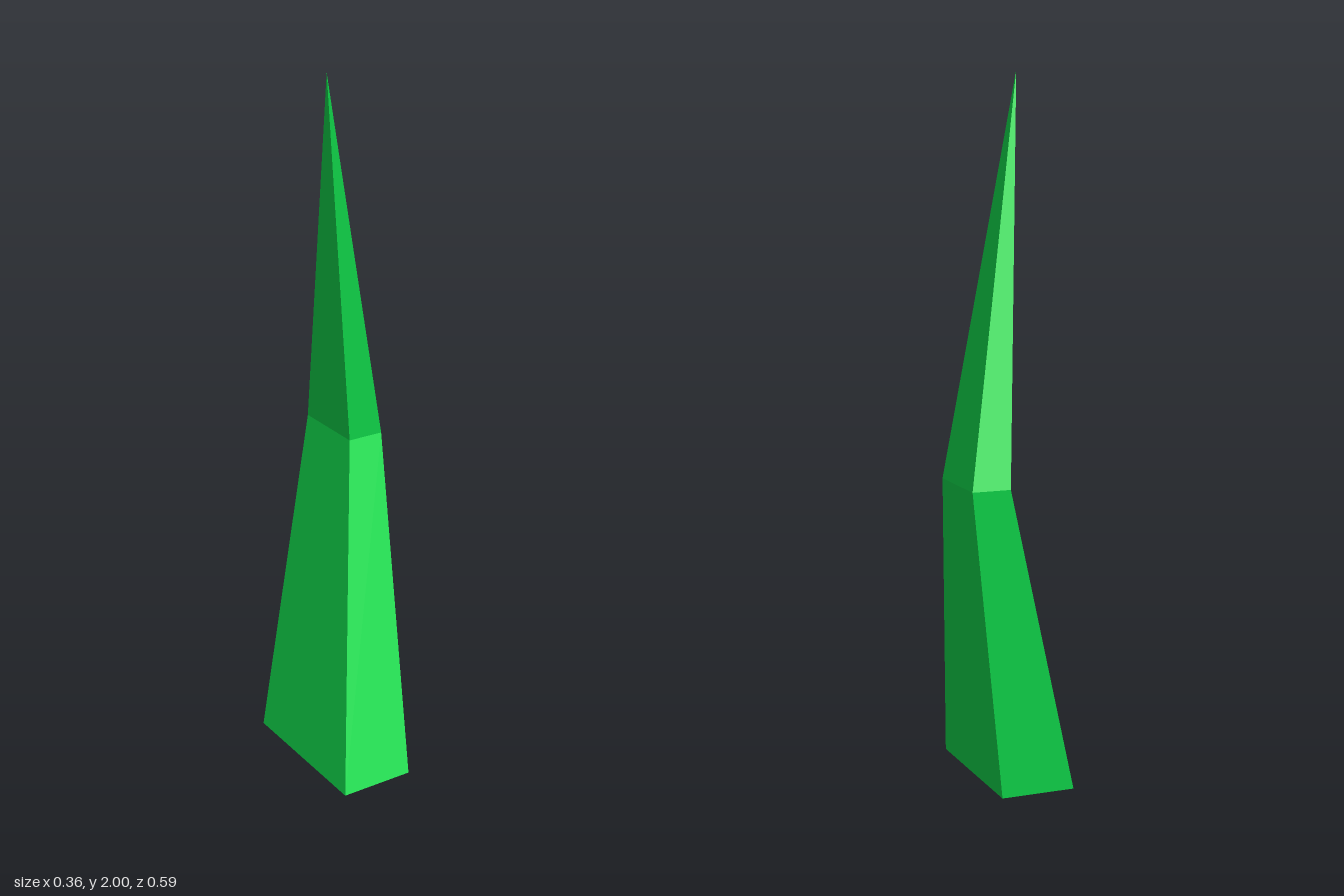
import * as THREE from 'three';

// Rectangular cross-sections of the bent blade: height, centre x/z, width and depth
const sections = [
  { y: 0, x: -0.07, z: 0.068, w: 0.216, d: 0.455 },
  { y: 0.9, x: 0.124, z: -0.182, w: 0.108, d: 0.227 },
];
const tip = new THREE.Vector3(-0.1, 2, 0.085);

// Corners run counter-clockwise seen from above, starting front right
function ring({ y, x, z, w, d }) {
  return [[-1, 1], [1, 1], [1, -1], [-1, -1]].map(
    ([sx, sz]) => new THREE.Vector3(x + (sx * w) / 2, y, z + (sz * d) / 2)
  );
}

function bladeGeometry() {
  const [base, bend] = sections.map(ring);
  const points = [];
  for (let i = 0; i < 4; i++) {
    const j = (i + 1) % 4;
    points.push(base[i], base[j], bend[j], base[i], bend[j], bend[i]); // lower side
    points.push(bend[i], bend[j], tip); // upper side
  }
  points.push(base[0], base[3], base[2], base[0], base[2], base[1]); // underside
  const geometry = new THREE.BufferGeometry().setFromPoints(points);
  geometry.computeVertexNormals();
  return geometry;
}

export function createModel() {
  const group = new THREE.Group();
  group.name = 'grassBlade';
  const material = new THREE.MeshStandardMaterial({ color: 0x11dd4d, flatShading: true });
  const blade = new THREE.Mesh(bladeGeometry(), material);
  blade.name = 'blade';
  group.add(blade);
  return group;
}
